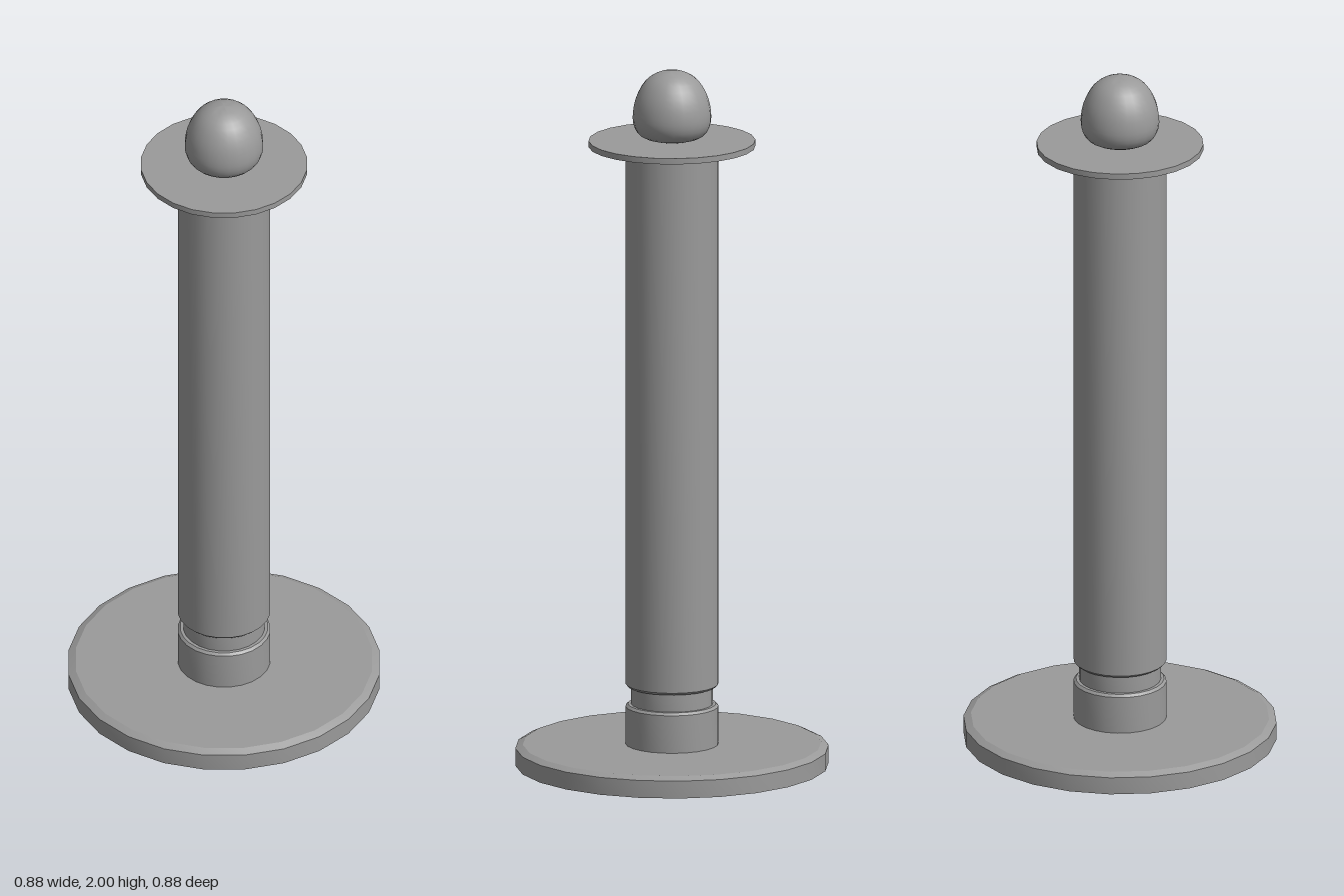
import * as THREE from 'three';
import { toCreasedNormals } from 'three/addons/utils/BufferGeometryUtils.js';

const SIDES = 24;
const material = new THREE.MeshStandardMaterial({ color: 0x9a9a9a });

// Turned part from [radius, height] pairs, listed bottom to top
function turned(name, profile, crease = 0.35) {
  const points = profile.map(([r, y]) => new THREE.Vector2(r, y));
  const lathe = new THREE.LatheGeometry(points, SIDES);
  const mesh = new THREE.Mesh(toCreasedNormals(lathe, crease), material);
  mesh.name = name;
  return mesh;
}

export function createModel() {
  const model = new THREE.Group();
  model.name = 'stand';

  // Round foot with a bevelled upper rim
  model.add(turned('base', [[0, 0], [0.441, 0], [0.441, 0.05], [0.42, 0.06], [0, 0.06]]));

  // Short collar, narrow neck and long shaft
  model.add(turned('column', [
    [0.131, 0.06], [0.131, 0.168], [0.124, 0.175], [0.115, 0.175],
    [0.115, 0.226], [0.124, 0.226], [0.131, 0.233], [0.131, 1.775],
  ]));

  // Thin plate with a sloping underside
  model.add(turned('topPlate', [[0, 1.762], [0.131, 1.762], [0.235, 1.781], [0.235, 1.798], [0, 1.798]]));

  // Egg-shaped knob, flattened underneath
  const outline = new THREE.SplineCurve([
    [0, 1.797], [0.05, 1.8], [0.09, 1.814], [0.108, 1.843], [0.11, 1.88],
    [0.1, 1.925], [0.075, 1.968], [0.04, 1.992], [0, 2],
  ].map(([r, y]) => new THREE.Vector2(r, y)));
  const profile = outline.getPoints(20).map((p) => [Math.max(p.x, 0), p.y]);
  model.add(turned('knob', profile, 1));

  return model;
}
